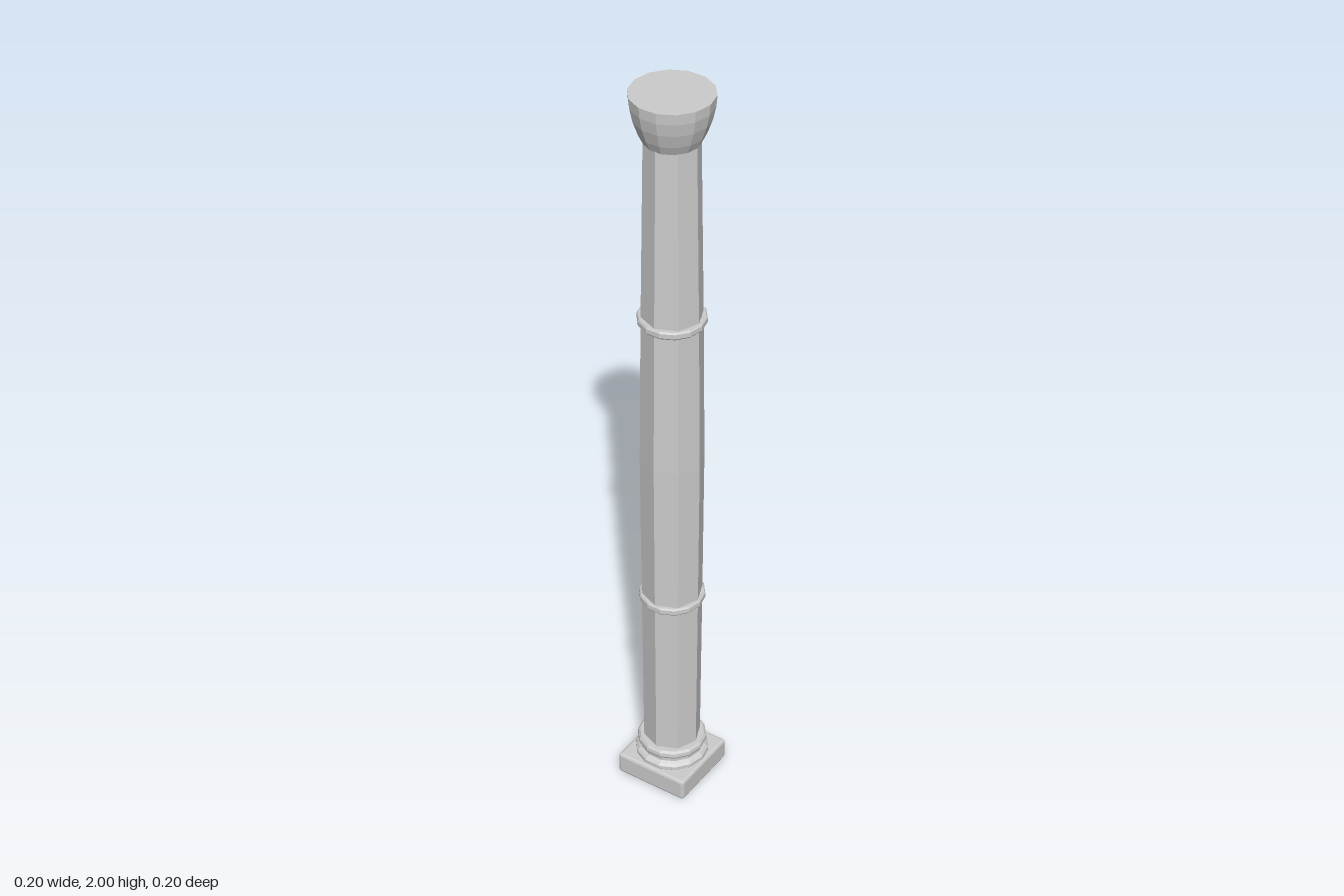
import * as THREE from 'three';
import { RoundedBoxGeometry } from 'three/addons/geometries/RoundedBoxGeometry.js';

export function createModel() {
  const column = new THREE.Group();
  column.name = 'column';
  const stone = new THREE.MeshStandardMaterial({ color: 0xcccccc, flatShading: true });
  stone.name = 'grey stone';

  const add = (name, geometry, y = 0) => {
    const mesh = new THREE.Mesh(geometry, stone);
    mesh.name = name;
    mesh.position.y = y;
    column.add(mesh);
    return mesh;
  };
  // Faceted turned part; profile is [radius, y] from bottom to top, first corner on +x
  const turned = (name, sides, profile, y = 0) => {
    const points = profile.map(([r, h]) => new THREE.Vector2(r, h));
    return add(name, new THREE.LatheGeometry(points, sides).rotateY(Math.PI / 2), y);
  };

  // Square plinth with chamfered edges
  add('plinth', new RoundedBoxGeometry(0.2, 0.06, 0.2, 1, 0.007), 0.03);

  // Two rounded base mouldings with a hollow between them
  turned('baseMoulding', 14, [
    [0, 0.058], [0.088, 0.058], [0.094, 0.064], [0.094, 0.073], [0.088, 0.079],
    [0.081, 0.083], [0.081, 0.092], [0.086, 0.096], [0.089, 0.102],
    [0.088, 0.112], [0.083, 0.118], [0, 0.118],
  ]);

  // Octagonal shaft, swelling slightly at mid height
  turned('shaft', 8, [
    [0.073, 0.11], [0.0765, 0.58], [0.079, 1.0], [0.0745, 1.4], [0.0665, 1.9],
  ]);

  // Bands around the shaft
  for (const [name, y] of [['lowerBand', 0.58], ['upperBand', 1.405]]) {
    turned(name, 14, [
      [0.07, -0.01], [0.08, -0.01], [0.083, -0.006], [0.083, 0.006], [0.08, 0.01], [0.07, 0.01],
    ], y);
  }

  // Flared capital with a flat top
  turned('capital', 14, [
    [0, 1.88], [0.067, 1.88], [0.079, 1.905], [0.091, 1.94], [0.098, 1.973], [0.1, 2], [0, 2],
  ]);

  return column;
}
